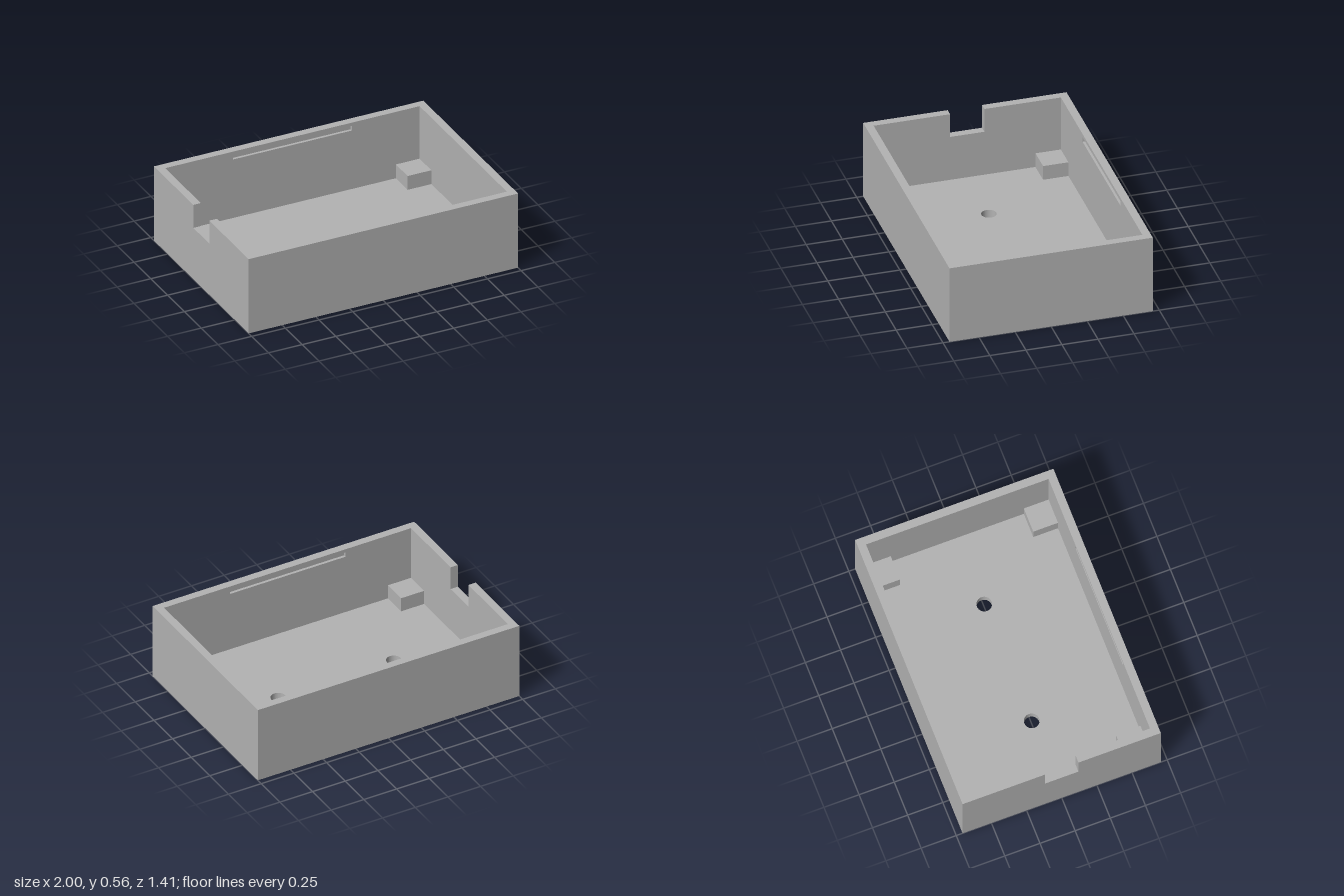
import * as THREE from 'three';

const HALF_X = 1, HALF_Z = 0.705, HEIGHT = 0.565;
const WALL = 0.056, FLOOR = 0.06, GROOVE = 0.02;
const IN_X = HALF_X - WALL, IN_Z = HALF_Z - WALL;

// Closed outline from a list of points
const outline = (pts, Type = THREE.Shape) => new Type(pts.map(p => new THREE.Vector2(...p)));

const rect = (x0, y0, x1, y1, Type) => outline([[x0, y0], [x1, y0], [x1, y1], [x0, y1]], Type);

// Flat plate of the given thickness, centred on its own z = 0
function plate(shape, thickness) {
  const geometry = new THREE.ExtrudeGeometry(shape, { depth: thickness, bevelEnabled: false, curveSegments: 24 });
  return geometry.translate(0, 0, -thickness / 2);
}

export function createModel() {
  const group = new THREE.Group();
  const grey = new THREE.MeshStandardMaterial({ color: 0xb3b3b3 });
  grey.name = 'grey plastic';

  const add = (name, geometry, x = 0, y = 0, z = 0) => {
    const mesh = new THREE.Mesh(geometry, grey);
    mesh.name = name;
    mesh.position.set(x, y, z);
    group.add(mesh);
  };

  // Floor with two round screw holes
  const floor = rect(-HALF_X, -HALF_Z, HALF_X, HALF_Z);
  for (const s of [-1, 1]) {
    floor.holes.push(new THREE.Path().absarc(s * 0.442, 0, 0.052, 0, Math.PI * 2, true));
  }
  add('floor', plate(floor, FLOOR).rotateX(-Math.PI / 2), 0, FLOOR / 2, 0);

  // Long walls: solid outer skin, inner skin with a shallow snap groove near the rim
  const skin = WALL - GROOVE;
  const outer = rect(-HALF_X, FLOOR, HALF_X, HEIGHT);
  const inner = rect(-IN_X, FLOOR, IN_X, HEIGHT);
  inner.holes.push(rect(-0.442, 0.505, 0.442, 0.54, THREE.Path));
  for (const [side, s] of [['front', 1], ['back', -1]]) {
    add(side + 'WallOuter', plate(outer, skin), 0, 0, s * (HALF_Z - skin / 2));
    add(side + 'WallInner', plate(inner, GROOVE), 0, 0, s * (IN_Z + GROOVE / 2));
  }

  // Short walls, reaching the outer skins; the one on -x has a cable notch
  const end = HALF_Z - skin, notch = 0.119, notchY = 0.39;
  const plain = rect(-end, FLOOR, end, HEIGHT);
  const notched = outline([
    [-end, FLOOR], [end, FLOOR], [end, HEIGHT], [notch, HEIGHT],
    [notch, notchY], [-notch, notchY], [-notch, HEIGHT], [-end, HEIGHT],
  ]);
  add('leftWall', plate(plain, WALL).rotateY(Math.PI / 2), HALF_X - WALL / 2);
  add('rightNotchedWall', plate(notched, WALL).rotateY(Math.PI / 2), -HALF_X + WALL / 2);

  // Square support blocks in the four corners
  const size = 0.176, top = 0.165;
  for (const sx of [-1, 1]) {
    for (const sz of [-1, 1]) {
      add('cornerSupport', new THREE.BoxGeometry(size, top - FLOOR, size),
        sx * (IN_X - size / 2), (top + FLOOR) / 2, sz * (IN_Z - size / 2));
    }
  }
  return group;
}
